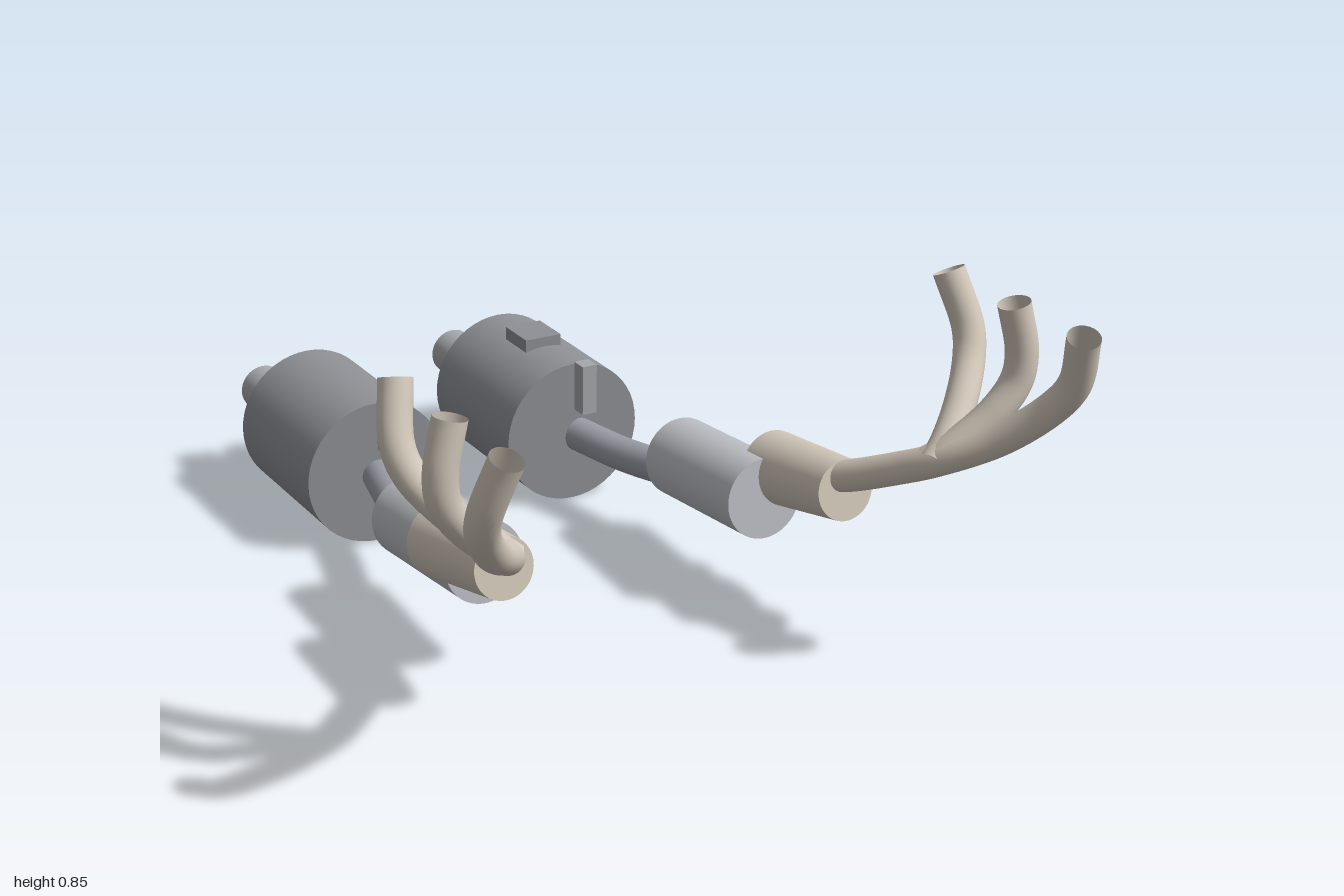
import * as THREE from 'three';

const paint = (color, side = THREE.FrontSide) => new THREE.MeshStandardMaterial({ color, side });

export function createModel() {
  const model = new THREE.Group();
  const beige = paint(0xd2c8ba);
  const beigeTube = paint(0xd2c8ba, THREE.DoubleSide);
  const silver = paint(0xbcbfc4);
  const steelTube = paint(0x9b9da6, THREE.DoubleSide);
  const dark = paint(0x8e9095);
  const tipGrey = paint(0xa6a8ab);

  function add(parent, name, geometry, material) {
    const mesh = new THREE.Mesh(geometry, material);
    mesh.name = name;
    parent.add(mesh);
    return mesh;
  }

  // Capped cylinder or cone running from point a to point b
  function rod(parent, name, a, b, ra, rb, material) {
    const from = new THREE.Vector3(...a), to = new THREE.Vector3(...b);
    const axis = to.clone().sub(from);
    const mesh = add(parent, name, new THREE.CylinderGeometry(rb, ra, axis.length(), 48), material);
    mesh.position.copy(from).add(to).multiplyScalar(0.5);
    mesh.quaternion.setFromUnitVectors(new THREE.Vector3(0, 1, 0), axis.normalize());
  }

  function pipe(parent, name, points, radius, material) {
    const curve = new THREE.CatmullRomCurve3(points.map(p => new THREE.Vector3(...p)));
    add(parent, name, new THREE.TubeGeometry(curve, 48, radius, 24), material);
  }

  function box(parent, name, size, position, material) {
    add(parent, name, new THREE.BoxGeometry(...size), material).position.set(...position);
  }

  for (const side of [1, -1]) {
    const bank = new THREE.Group();
    bank.name = side > 0 ? 'leftExhaust' : 'rightExhaust';
    model.add(bank);
    const m = (x, y, z) => [side * x, y, z];

    // Muffler with its twin tail pipes
    rod(bank, 'muffler', m(0.263, 0.177, -0.48), m(0.263, 0.177, -0.87), 0.175, 0.175, dark);
    for (const x of [0.197, 0.327])
      rod(bank, 'tailPipe', m(x, 0.222, -0.86), m(x, 0.222, -1), 0.057, 0.057, tipGrey);

    // Link pipe and the hanger above it
    pipe(bank, 'linkPipe', [m(0.365, 0.205, -0.03), m(0.345, 0.194, -0.11), m(0.303, 0.178, -0.29),
      m(0.266, 0.179, -0.455)], 0.041, steelTube);
    box(bank, 'hanger', [0.038, 0.123, 0.042], m(0.261, 0.318, -0.41), tipGrey);

    // Catalytic converter and collector cone
    rod(bank, 'converter', m(0.352, 0.231, -0.111), m(0.352, 0.266, 0.257), 0.094, 0.094, silver);
    rod(bank, 'collector', m(0.419, 0.305, 0.188), m(0.419, 0.358, 0.48), 0.083, 0.069, beige);

    // Header runners merging into one pipe
    const stem = [m(0.405, 0.375, 0.43), m(0.43, 0.4, 0.5), m(0.475, 0.445, 0.6), m(0.515, 0.485, 0.68)];
    pipe(bank, 'frontRunner', [...stem, m(0.6, 0.555, 0.785), m(0.665, 0.645, 0.872),
      m(0.682, 0.71, 0.917), m(0.66, 0.833, 0.966)], 0.036, beigeTube);
    pipe(bank, 'middleRunner', [m(0.5, 0.47, 0.655), m(0.53, 0.5, 0.685), m(0.625, 0.585, 0.72),
      m(0.675, 0.655, 0.73), m(0.683, 0.72, 0.732), m(0.659, 0.832, 0.728)], 0.036, beigeTube);
    pipe(bank, 'rearRunner', [m(0.505, 0.48, 0.685), m(0.54, 0.51, 0.672), m(0.61, 0.575, 0.623),
      m(0.668, 0.65, 0.567), m(0.683, 0.71, 0.538), m(0.66, 0.83, 0.489)], 0.036, beigeTube);
  }

  // Mounting pad found on one muffler only
  box(model, 'mountingPad', [0.095, 0.034, 0.108], [0.258, 0.359, -0.673], dark);

  return model;
}
